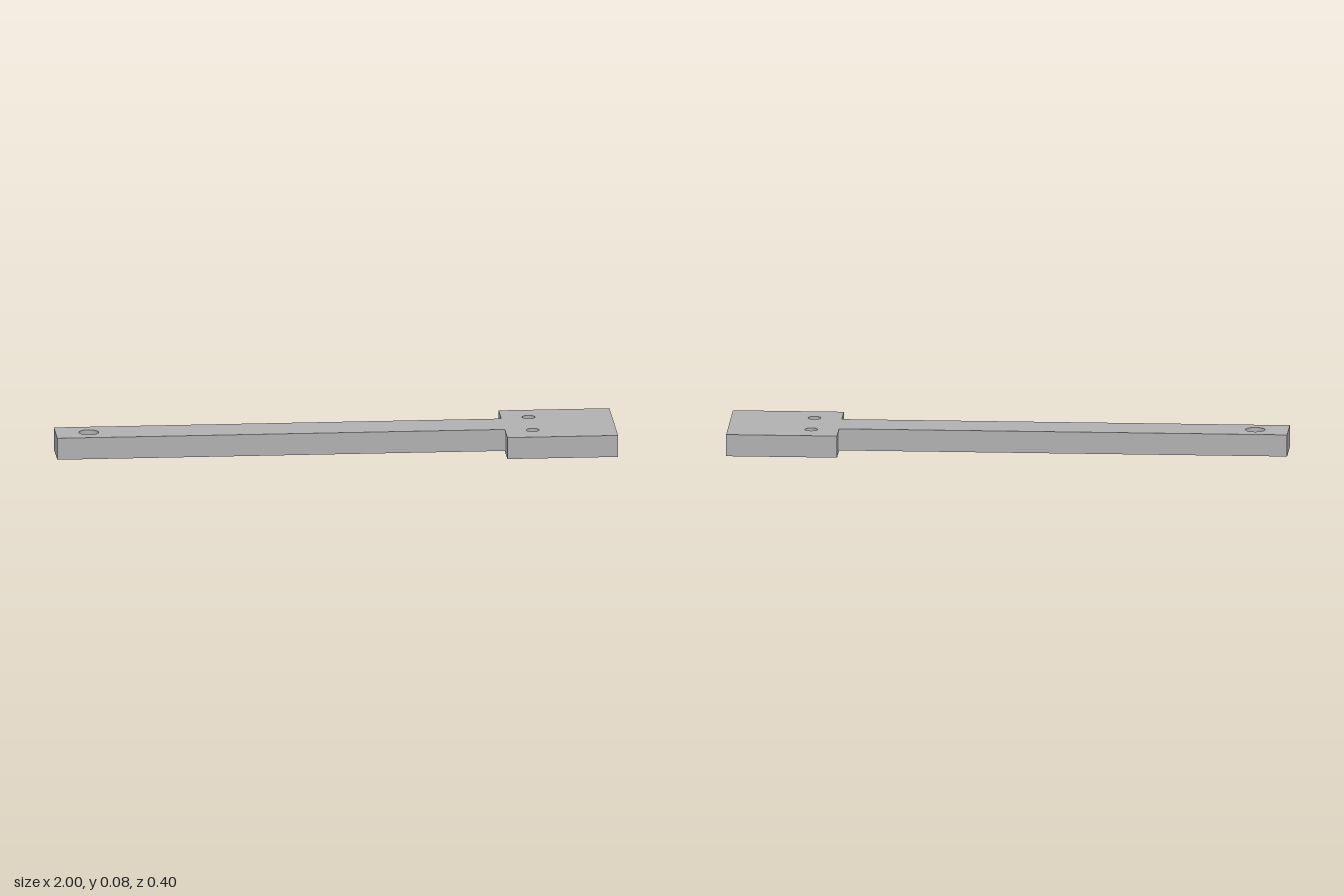
import * as THREE from 'three';

const THICKNESS = 0.079;
const ARM_HALF = 0.079;
const HEAD_HALF = 0.198;
const HEAD_X = 0.603;

// Round through-hole in the plate outline
function drill(shape, x, y, radius) {
  const hole = new THREE.Path();
  hole.absarc(x, y, radius, 0, Math.PI * 2, true);
  shape.holes.push(hole);
}

export function createModel() {
  const group = new THREE.Group();
  group.name = 'mountingArm';

  const grey = new THREE.MeshStandardMaterial({ color: 0xb0b0b0 });
  grey.name = 'plainGrey';

  // T-shaped outline: long narrow arm with a wide head at the +x end
  const outline = new THREE.Shape([
    [-1, -ARM_HALF], [HEAD_X, -ARM_HALF], [HEAD_X, -HEAD_HALF], [1, -HEAD_HALF],
    [1, HEAD_HALF], [HEAD_X, HEAD_HALF], [HEAD_X, ARM_HALF], [-1, ARM_HALF],
  ].map(([x, y]) => new THREE.Vector2(x, y)));

  // One large pivot hole in the arm, a pair of screw holes in the head
  drill(outline, -0.881, 0, 0.035);
  for (const side of [-1, 1]) drill(outline, 0.702, side * 0.094, 0.023);

  const geometry = new THREE.ExtrudeGeometry(outline, {
    depth: THICKNESS, bevelEnabled: false, curveSegments: 40,
  });
  geometry.rotateX(-Math.PI / 2);

  const plate = new THREE.Mesh(geometry, grey);
  plate.name = 'armWithHeadPlate';
  group.add(plate);
  return group;
}
